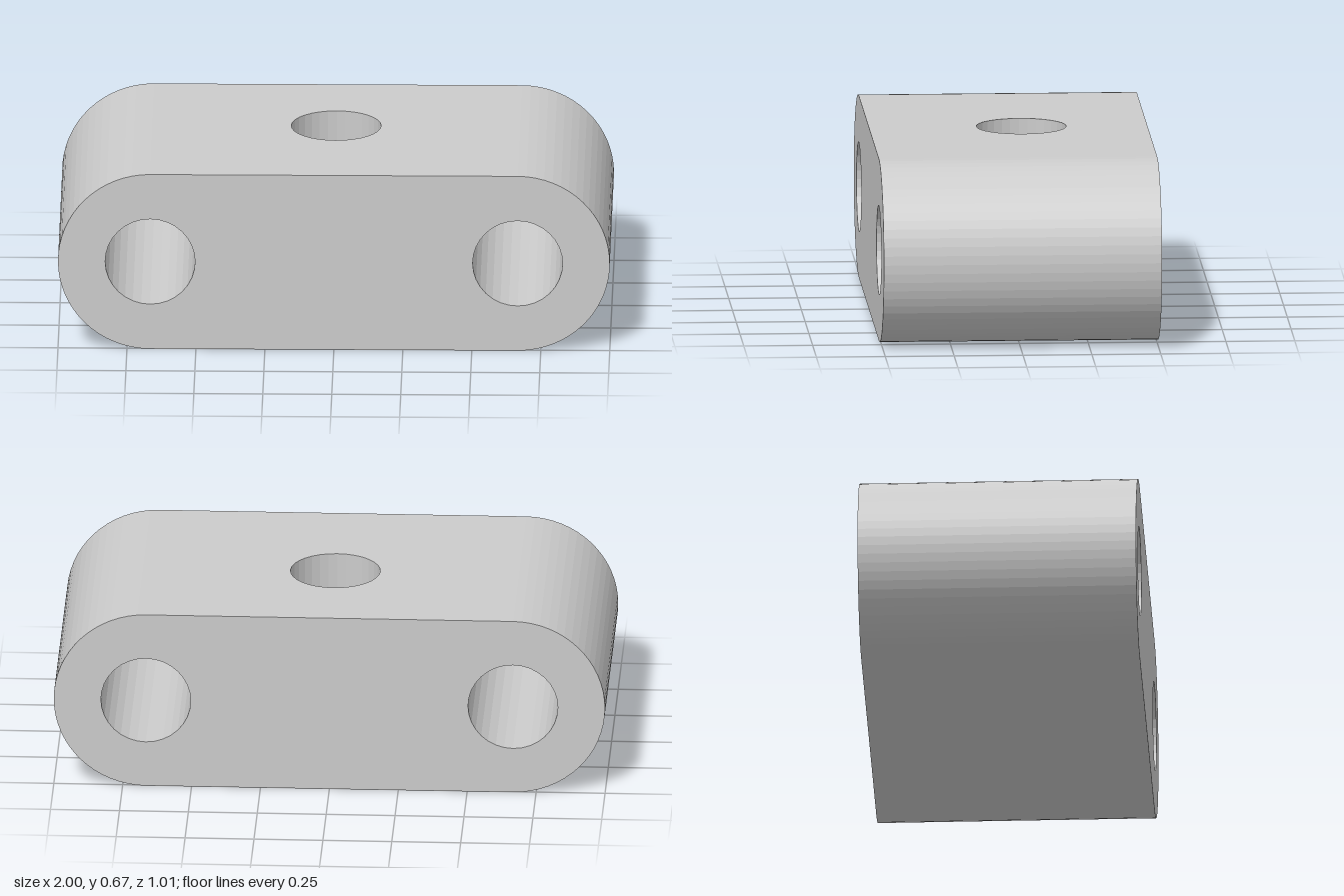
import * as THREE from 'three';

const R = 0.334;        // end radius, half the height
const CX = 1 - R;       // centre of each rounded end
const DEPTH = 1.01;
const HOLE = 0.163;
const SOCKET_Z = -0.048;
const SOCKET_DEPTH = 0.334;
const SEG = 32;

export function createModel() {
  const group = new THREE.Group();
  const outer = new THREE.MeshStandardMaterial({ color: 0xcccccc, flatShading: true });
  const inner = new THREE.MeshStandardMaterial({ color: 0xcccccc, flatShading: true, side: THREE.BackSide });

  const add = (name, geometry, material, x, y, z) => {
    const mesh = new THREE.Mesh(geometry, material);
    mesh.name = name;
    mesh.position.set(x, y, z);
    group.add(mesh);
    return mesh;
  };
  const circle = (x, y) => new THREE.Path().absarc(x, y, HOLE, 0, Math.PI * 2, true);

  // Stadium end faces with two through holes
  const stadium = new THREE.Shape();
  stadium.absarc(CX, 0, R, -Math.PI / 2, Math.PI / 2, false);
  stadium.absarc(-CX, 0, R, Math.PI / 2, Math.PI * 1.5, false);
  stadium.holes.push(circle(CX, 0), circle(-CX, 0));
  const endFace = new THREE.ShapeGeometry(stadium, SEG / 2);
  add('frontFace', endFace, outer, 0, R, DEPTH / 2);
  add('backFace', endFace, outer, 0, R, -DEPTH / 2).rotation.y = Math.PI;

  // Rounded sides and the bores running front to back
  for (const [side, s] of [['left', 1], ['right', -1]]) {
    const round = new THREE.CylinderGeometry(R, R, DEPTH, SEG, 1, true, s > 0 ? 0 : Math.PI, Math.PI);
    add(side + 'RoundedEnd', round.rotateX(Math.PI / 2), outer, s * CX, R, 0);
    const bore = new THREE.CylinderGeometry(HOLE, HOLE, DEPTH, SEG, 1, true);
    add(side + 'Bore', bore.rotateX(Math.PI / 2), inner, s * CX, R, 0);
  }

  // Flat underside
  add('underside', new THREE.PlaneGeometry(CX * 2, DEPTH).rotateX(Math.PI / 2), outer, 0, 0, 0);

  // Flat top with an opening for the blind socket
  const top = new THREE.Shape();
  top.moveTo(-CX, -DEPTH / 2).lineTo(CX, -DEPTH / 2).lineTo(CX, DEPTH / 2).lineTo(-CX, DEPTH / 2).closePath();
  top.holes.push(circle(0, -SOCKET_Z));
  add('topFace', new THREE.ShapeGeometry(top, SEG / 2).rotateX(-Math.PI / 2), outer, 0, 2 * R, 0);

  // Blind socket: wall and floor
  const wall = new THREE.CylinderGeometry(HOLE, HOLE, SOCKET_DEPTH, SEG, 1, true);
  add('socketWall', wall, inner, 0, 2 * R - SOCKET_DEPTH / 2, SOCKET_Z);
  const floor = new THREE.CircleGeometry(HOLE, SEG).rotateX(-Math.PI / 2);
  add('socketFloor', floor, outer, 0, 2 * R - SOCKET_DEPTH, SOCKET_Z);

  return group;
}
